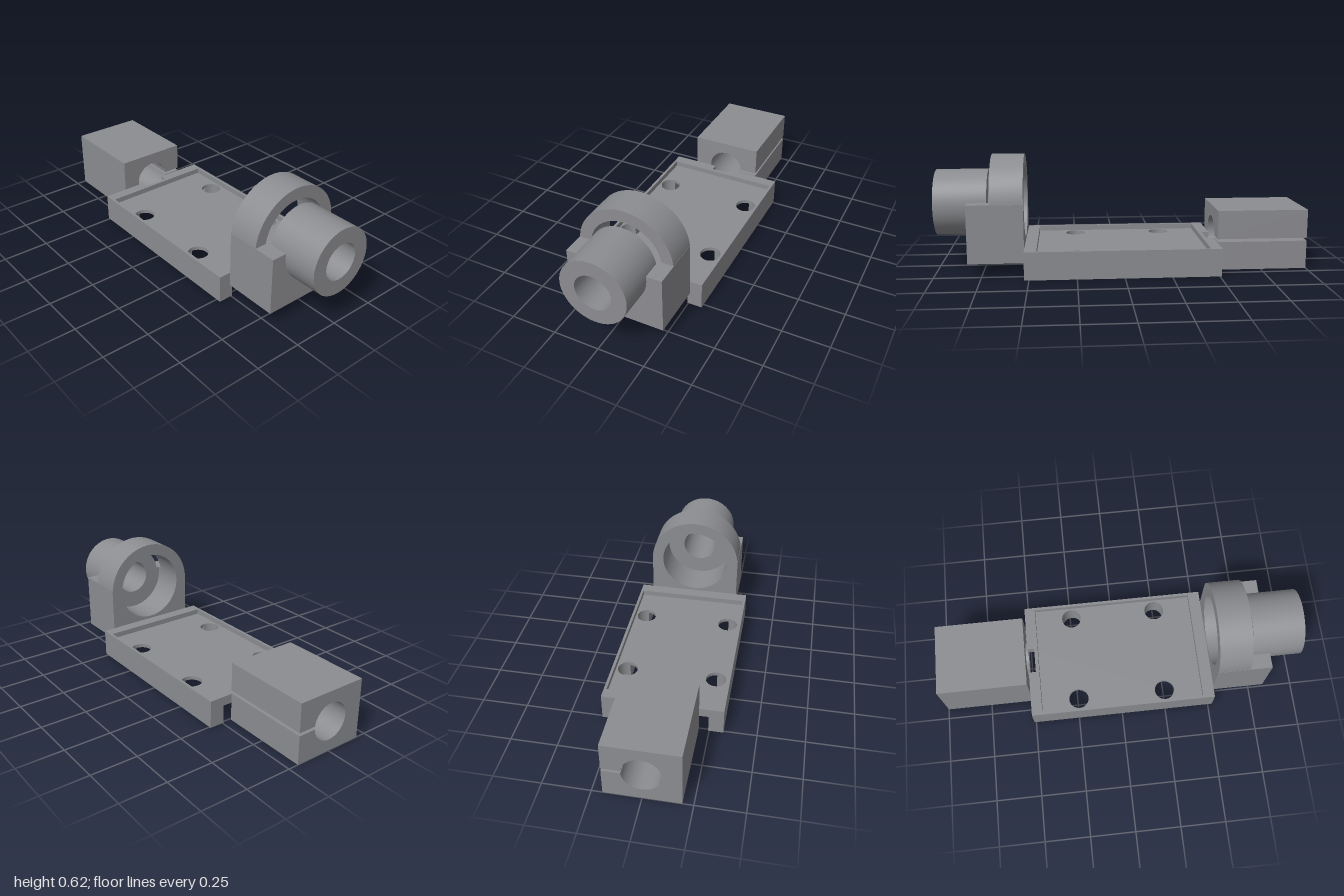
import * as THREE from 'three';
import { toCreasedNormals } from 'three/addons/utils/BufferGeometryUtils.js';

const AXIS_Y = 0.36; // height of the upper bore axis

export function createModel() {
  const group = new THREE.Group();
  const metal = new THREE.MeshStandardMaterial({ color: 0x8c8d91 });
  metal.name = 'grey metal';

  function add(name, geometry) {
    const mesh = new THREE.Mesh(toCreasedNormals(geometry, 0.6), metal);
    mesh.name = name;
    group.add(mesh);
  }
  const extrude = (shape, depth) =>
    new THREE.ExtrudeGeometry(shape, { depth, bevelEnabled: false, curveSegments: 24 });

  // End profile (shape x = -z, shape y = y) swept along x
  const sweepX = (name, shape, x0, x1) =>
    add(name, extrude(shape, x1 - x0).rotateY(Math.PI / 2).translate(x0, 0, 0));

  // Plan profile (shape x = x, shape y = -z) swept upwards
  const sweepY = (name, shape, y0, y1) =>
    add(name, extrude(shape, y1 - y0).rotateX(-Math.PI / 2).translate(0, y0, 0));

  const polygon = (points) => new THREE.Shape(points.map(([x, y]) => new THREE.Vector2(x, y)));
  const circle = (x, y, r) => new THREE.Path().absarc(x, y, r, 0, Math.PI * 2, true);

  // Clamp block: bored along x and slit through to the back
  const clamp = new THREE.Shape();
  clamp.moveTo(-0.195, 0);
  clamp.lineTo(0.195, 0);
  clamp.lineTo(0.195, 0.154);
  clamp.absarc(0, 0.162, 0.1, -0.08, 0.08, true);
  clamp.lineTo(0.195, 0.17);
  clamp.lineTo(0.195, 0.325);
  clamp.lineTo(-0.195, 0.325);
  sweepX('clampBlock', clamp, -1, -0.51);

  // Tray: thin floor with four holes and a raised frame, notched at the clamp
  const trayOutline = () => polygon([
    [-0.51, -0.325], [0.525, -0.325], [0.525, 0.325], [-0.51, 0.325],
    [-0.51, 0.07], [-0.47, 0.07], [-0.47, -0.07], [-0.51, -0.07],
  ]);
  const holeX = [-0.24, 0.25], holeZ = 0.245, holeR = 0.055;
  const floor = trayOutline();
  for (const x of holeX) for (const s of [-1, 1]) floor.holes.push(circle(x, s * holeZ, holeR));
  sweepY('trayFloor', floor, 0.1, 0.12);

  const frame = trayOutline();
  frame.holes.push(polygon([[-0.45, -0.31], [-0.45, 0.31], [0.46, 0.31], [0.46, -0.31]]));
  sweepY('trayFrame', frame, 0.12, 0.15);

  // Side rails, scalloped on the inside below the holes
  for (const s of [-1, 1]) {
    const rail = new THREE.Shape();
    rail.moveTo(-0.51, s * 0.325);
    rail.lineTo(-0.51, s * holeZ);
    for (const x of holeX) {
      rail.lineTo(x - holeR, s * holeZ);
      rail.absarc(x, s * holeZ, holeR, Math.PI, 0, s > 0);
    }
    rail.lineTo(0.525, s * holeZ);
    rail.lineTo(0.525, s * 0.325);
    sweepY(s > 0 ? 'backRail' : 'frontRail', rail, 0, 0.1);
  }

  // Housing: square saddle with a round seat cut in its top
  function saddle(r) {
    const shape = new THREE.Shape();
    const a = Math.asin((0.385 - AXIS_Y) / r);
    shape.moveTo(-0.26, 0.075);
    shape.lineTo(0.26, 0.075);
    shape.lineTo(0.26, 0.385);
    shape.absarc(0, AXIS_Y, r, a, Math.PI - a, true);
    shape.lineTo(-0.26, 0.385);
    return shape;
  }
  sweepX('housingSaddle', saddle(0.195), 0.525, 0.72);
  sweepX('housingEnd', saddle(0.17), 0.72, 0.82);

  // Arch closing the housing seat
  const arch = new THREE.Shape();
  arch.absarc(0, AXIS_Y, 0.26, 0.09, Math.PI - 0.09, false);
  arch.absarc(0, AXIS_Y, 0.195, Math.PI - 0.12, 0.12, true);
  sweepX('housingArch', arch, 0.525, 0.7);

  // Nozzle tube
  const tube = new THREE.Shape().absarc(0, AXIS_Y, 0.179, 0, Math.PI * 2, false);
  tube.holes.push(circle(0, AXIS_Y, 0.098));
  sweepX('nozzleTube', tube, 0.72, 1);

  return group;
}
